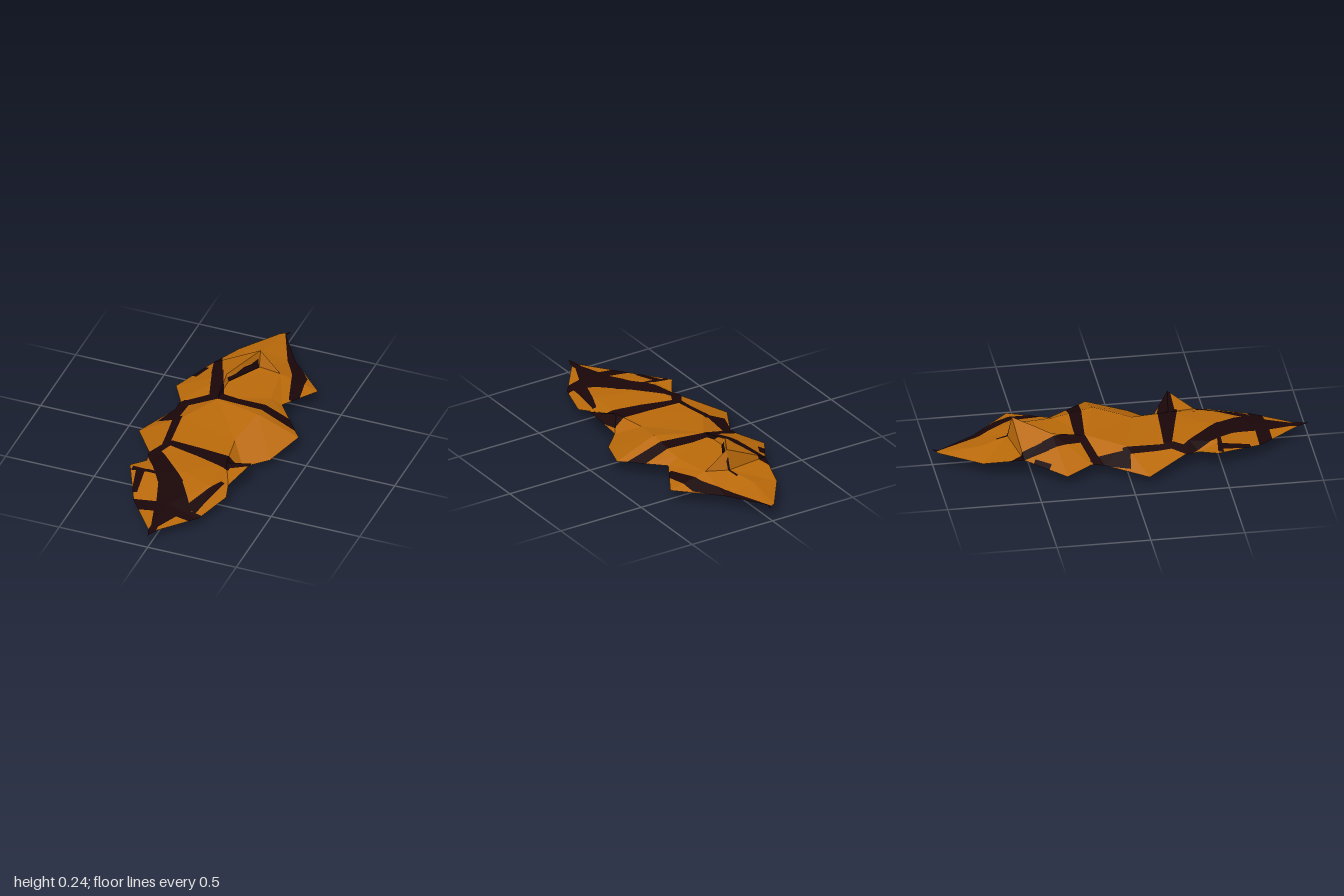
import * as THREE from 'three';

// Jagged rim shared by the upper and lower skins: [x, y, z]
const RIM = [
  [0.02, 0.08, -1], [0.005, 0.08, -0.965], [0.14, 0.08, -0.76], [0.35, 0.08, -0.55], [0.23, 0.1, -0.34],
  [0.32, 0.09, -0.23], [0.41, 0.08, -0.12], [0.33, 0.05, 0.09], [0.22, 0.05, 0.2], [0.31, 0.16, 0.3],
  [0.23, 0.085, 0.43], [0.25, 0.065, 0.51], [0.18, 0.055, 0.73], [0.025, 0.07, 0.93], [0, 0.075, 1],
  [-0.02, 0.07, 0.94], [-0.19, 0.07, 0.72], [-0.31, 0.105, 0.47], [-0.25, 0.09, 0.38], [-0.27, 0.09, 0.3],
  [-0.41, 0.05, 0.09], [-0.29, 0.075, -0.13], [-0.29, 0.085, -0.2], [-0.37, 0.068, -0.34], [-0.24, 0.115, -0.55],
  [-0.18, 0.08, -0.76], [-0.03, 0.08, -0.97],
];

// Ridges of the upper skin, with a sharp peak that drops off as walls on one side
const UPPER = [
  [-0.04, 0.11, -0.75], [0.015, 0.24, -0.575], [0.135, 0.135, -0.555], [-0.1, 0.185, -0.38], [0.17, 0.13, -0.33],
  [0.017, 0.15, -0.553], [0.017, 0.13, -0.6], [-0.03, 0.15, -0.467], [-0.042, 0.213, -0.477], [-0.085, 0.15, -0.37],
  [-0.08, 0.15, -0.2], [0.18, 0.17, -0.12], [-0.2, 0.13, 0], [0.13, 0.12, 0.08], [-0.18, 0.12, 0.18],
  [0, 0.12, 0.2], [0.16, 0.115, 0.28], [-0.17, 0.12, 0.34], [0, 0.125, 0.45], [-0.2, 0.115, 0.5],
  [0.15, 0.11, 0.5], [0, 0.095, 0.72],
];

// Shallow keel of the lower skin
const LOWER = [
  [0, 0.04, -0.76], [0.15, 0.035, -0.45], [-0.12, 0.04, -0.42], [-0.01, 0, -0.12], [0.2, 0.025, -0.08],
  [0.08, 0.03, 0.12], [-0.14, 0.035, 0.14], [0.02, 0.035, 0.4], [0.2, 0.045, 0.31], [0, 0.04, 0.65],
];

// Dark bands seen in plan: [x1, z1, width1, x2, z2, width2]
const UPPER_BANDS = [
  [0.01, -1.02, 0.06, 0.13, -0.74, 0.05], [0.12, -0.76, 0.05, 0.23, -0.6, 0.08],
  [0.22, -0.62, 0.08, 0.27, -0.4, 0.05],
  [-0.24, -0.62, 0.04, -0.17, -0.42, 0.06], [-0.17, -0.43, 0.06, -0.09, -0.21, 0.08],
  [-0.1, -0.23, 0.05, 0.4, -0.2, 0.08], [-0.07, -0.23, 0.05, -0.3, -0.16, 0.05],
  [-0.25, -0.2, 0.04, -0.28, 0.01, 0.12], [-0.23, -0.02, 0.05, -0.2, 0.24, 0.04],
  [-0.2, 0.22, 0.04, 0.2, 0.28, 0.11], [0.19, 0.27, 0.1, 0.31, 0.29, 0.05],
  [-0.18, 0.22, 0.05, -0.25, 0.34, 0.06], [-0.24, 0.31, 0.07, -0.04, 0.56, 0.13],
  [-0.06, 0.53, 0.12, 0.06, 0.78, 0.2], [0.2, 0.43, 0.02, 0.12, 0.7, 0.07],
  [-0.2, 0.75, 0.08, 0.2, 0.74, 0.07], [0.01, 0.76, 0.14, 0, 0.9, 0.04], [0, 0.88, 0.04, 0, 1.02, 0.04],
  [-0.29, 0.49, 0.03, -0.15, 0.5, 0.02], [-0.24, 0.49, 0.05, -0.21, 0.66, 0.03],
  [-0.3, -0.42, 0.04, -0.26, -0.5, 0.04],
  [0.003, -0.66, 0.012, 0.018, -0.585, 0.012], [0.015, -0.552, 0.012, -0.088, -0.372, 0.012],
];
const LOWER_BANDS = [
  [-0.05, -0.15, 0.1, 0.42, -0.09, 0.09], [-0.03, -0.18, 0.05, -0.2, 0.36, 0.12],
  [-0.03, -0.18, 0.03, -0.35, -0.45, 0.02], [0.01, -1.01, 0.05, -0.03, -0.85, 0.12],
  [-0.03, -0.87, 0.12, -0.14, -0.66, 0.05], [0.02, -0.86, 0.08, 0.15, -0.75, 0.03],
  [0, 1, 0.05, 0.07, 0.78, 0.08], [0.07, 0.8, 0.06, -0.14, 0.62, 0.025], [0.22, 0.28, 0.015, 0.29, 0.32, 0.015],
];

const area = (a, b, c) => (b[2] - a[2]) * (c[0] - a[0]) - (b[0] - a[0]) * (c[2] - a[2]);

function insideRim(x, z) {
  let inside = false;
  RIM.forEach((a, i) => {
    const b = RIM[(i + 1) % RIM.length];
    if ((a[2] > z) !== (b[2] > z) && x < a[0] + (b[0] - a[0]) * (z - a[2]) / (b[2] - a[2])) inside = !inside;
  });
  return inside;
}

// Triangle with its circumcircle in plan
function facet(a, b, c) {
  const bx = b[0] - a[0], bz = b[2] - a[2], cx = c[0] - a[0], cz = c[2] - a[2];
  const d = 2 * (bx * cz - bz * cx), bb = bx * bx + bz * bz, cc = cx * cx + cz * cz;
  const x = (cz * bb - bz * cc) / d, z = (bx * cc - cx * bb) / d;
  return { p: area(a, b, c) > 0 ? [a, b, c] : [a, c, b], x: a[0] + x, z: a[2] + z, r: x * x + z * z };
}

// Delaunay facets in plan, trimmed to the rim, facing up
function facets(points) {
  let list = [facet([-20, 0, -17], [21, 0, -16], [0.3, 0, 25])];
  for (const q of points) {
    const hit = (t) => (q[0] - t.x) ** 2 + (q[2] - t.z) ** 2 < t.r;
    const edges = list.filter(hit).flatMap(({ p }) => p.map((a, i) => [a, p[(i + 1) % 3]]));
    const border = edges.filter(([a, b]) => !edges.some(([c, d]) => c === b && d === a));
    list = list.filter((t) => !hit(t));
    for (const [a, b] of border) if (Math.abs(area(a, b, q)) > 1e-9) list.push(facet(a, b, q));
  }
  return list.map((t) => t.p).filter((p) => p.every((v) => points.includes(v))
    && insideRim((p[0][0] + p[1][0] + p[2][0]) / 3, (p[0][2] + p[1][2] + p[2][2]) / 3));
}

// Part of a polygon on one side of a line in plan
function clip(poly, a, b, sign) {
  const out = [];
  poly.forEach((p, i) => {
    const q = poly[(i + 1) % poly.length];
    const s = sign * area(a, b, p), t = sign * area(a, b, q);
    if (s >= 0) out.push(p);
    if ((s > 0 && t < 0) || (s < 0 && t > 0)) out.push(p.map((v, k) => v + (q[k] - v) * s / (s - t)));
  });
  return out;
}

// Corners of a tapered band
function bandCorners([x1, z1, w1, x2, z2, w2]) {
  const l = 2 * Math.hypot(x2 - x1, z2 - z1), nx = (z2 - z1) / l, nz = (x1 - x2) / l;
  const c = [[x1 + nx * w1, 0, z1 + nz * w1], [x2 + nx * w2, 0, z2 + nz * w2],
    [x2 - nx * w2, 0, z2 - nz * w2], [x1 - nx * w1, 0, z1 - nz * w1]];
  return area(c[0], c[1], c[2]) > 0 ? c : c.reverse();
}

// Cut every facet along the bands into plain and dark pieces
function paint(polys, bands) {
  const dark = [];
  let plain = polys;
  for (const corners of bands.map(bandCorners)) {
    const rest = [];
    for (let poly of plain) {
      for (let i = 0; i < 4 && poly.length > 2; i++) {
        const a = corners[i], b = corners[(i + 1) % 4];
        const outer = clip(poly, a, b, -1);
        if (outer.length > 2) rest.push(outer);
        poly = clip(poly, a, b, 1);
      }
      if (poly.length > 2) dark.push(poly);
    }
    plain = rest;
  }
  return { plain, dark };
}

function skinMesh(name, polys, material, flip) {
  const pos = [];
  for (const p of polys) {
    for (let i = 1; i < p.length - 1; i++) {
      pos.push(...p[0], ...(flip ? p[i + 1] : p[i]), ...(flip ? p[i] : p[i + 1]));
    }
  }
  const geometry = new THREE.BufferGeometry();
  geometry.setAttribute('position', new THREE.Float32BufferAttribute(pos, 3));
  geometry.computeVertexNormals();
  const mesh = new THREE.Mesh(geometry, material);
  mesh.name = name;
  return mesh;
}

export function createModel() {
  const amber = new THREE.MeshStandardMaterial({ color: 0xb9690a });
  amber.name = 'amber';
  const darkBrown = new THREE.MeshStandardMaterial({ color: 0x1a0608 });
  darkBrown.name = 'dark brown';

  const group = new THREE.Group();
  group.name = 'crumpledLeaf';
  const upper = paint(facets([...RIM, ...UPPER]), UPPER_BANDS);
  const lower = paint(facets([...RIM, ...LOWER]), LOWER_BANDS);
  group.add(
    skinMesh('upperSkin', upper.plain, amber, false),
    skinMesh('upperBands', upper.dark, darkBrown, false),
    skinMesh('lowerSkin', lower.plain, amber, true),
    skinMesh('lowerBands', lower.dark, darkBrown, true),
  );
  return group;
}
